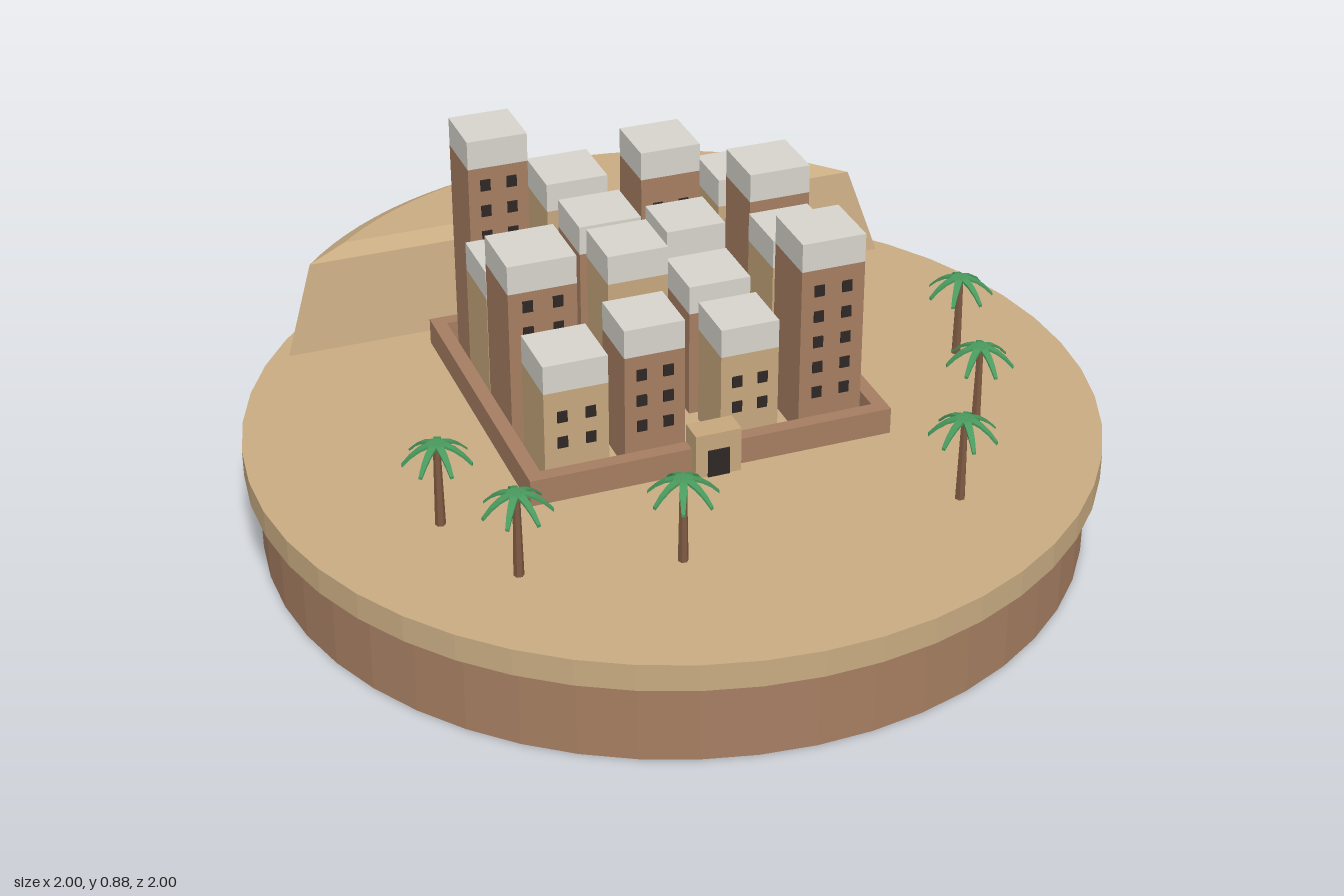
import * as THREE from 'three';

const mat = (name, color, extra = {}) => {
  const m = new THREE.MeshStandardMaterial({ color, flatShading: true, ...extra });
  m.name = name;
  return m;
};

export function createModel() {
  const model = new THREE.Group();
  model.name = 'desertTown';
  const sand = mat('sand', 0xc8ab82);
  const clay = mat('clay', 0xa67e62);
  const plaster = mat('plaster', 0xc6a77d);
  const whitewash = mat('whitewash', 0xd6d4cc);
  const dark = mat('darkOpening', 0x2e2824);
  const bark = mat('bark', 0x7d5a42);
  const leaf = mat('leaf', 0x4a9a5e);
  const GROUND = 0.265;
  const TURN = -Math.PI / 9;

  const add = (parent, name, geometry, material, x = 0, y = 0, z = 0) => {
    const m = new THREE.Mesh(geometry, material);
    m.name = name;
    m.position.set(x, y, z);
    parent.add(m);
    return m;
  };
  // box standing on height y
  const box = (parent, name, w, h, d, material, x, y, z) =>
    add(parent, name, new THREE.BoxGeometry(w, h, d), material, x, y + h / 2, z);

  // round base with a wider sand slab on top
  add(model, 'base', new THREE.CylinderGeometry(0.97, 0.97, 0.2, 48), clay, 0, 0.1, 0);
  add(model, 'sandDisc', new THREE.CylinderGeometry(1, 1, 0.065, 48), sand, 0, 0.2325, 0);

  // half-moon cliff: each level is [arc radius, chord position, height]
  const levels = [[0.96, -0.56, GROUND], [0.92, -0.59, 0.487], [0.87, -0.62, 0.515]];
  const N = 28;
  const verts = [];
  const index = [];
  for (const [r, v, y] of levels) {
    const b = Math.asin(-v / r);
    for (let i = 0; i <= N; i++) {
      const t = -(Math.PI - b) + (Math.PI - 2 * b) * i / N;
      verts.push(r * Math.cos(t), y, r * Math.sin(t));
    }
  }
  const M = N + 1;
  for (let l = 0; l < levels.length - 1; l++) {
    for (let i = 0; i < M; i++) {
      const a = l * M + i, b = l * M + (i + 1) % M;
      index.push(a, a + M, b, b, a + M, b + M);
    }
  }
  const top = (levels.length - 1) * M;
  for (let i = 1; i < N; i++) index.push(top, top + i + 1, top + i);
  const cliffGeo = new THREE.BufferGeometry();
  cliffGeo.setAttribute('position', new THREE.Float32BufferAttribute(verts, 3));
  cliffGeo.setIndex(index);
  cliffGeo.computeVertexNormals();
  add(model, 'cliff', cliffGeo, sand).rotation.y = TURN;

  // walled town, turned on the disc
  const town = new THREE.Group();
  town.name = 'town';
  town.position.set(0.035, 0, -0.107);
  town.rotation.y = TURN;
  model.add(town);

  const W = 0.436, D = 0.39, T = 0.034, H = 0.065;
  for (const s of [-1, 1]) {
    box(town, 'wallLong', 2 * W, H, T, clay, 0, GROUND, s * (D - T / 2));
    box(town, 'wallSide', T, H, 2 * (D - T), clay, s * (W - T / 2), GROUND, 0);
  }
  box(town, 'gatehouse', 0.11, 0.11, 0.06, plaster, 0, GROUND, 0.385);
  box(town, 'gateDoor', 0.052, 0.068, 0.006, dark, 0, GROUND, 0.416);

  // towers: [x, z, size, top height], clay and plaster alternating
  const towers = [
    [[-0.307, -0.271, 0.144, 0.88], [-0.116, -0.272, 0.15, 0.74], [0.116, -0.267, 0.148, 0.783], [0.311, -0.264, 0.145, 0.678]],
    [[-0.322, -0.096, 0.155, 0.64], [-0.1, -0.088, 0.15, 0.715], [0.12, -0.108, 0.145, 0.65], [0.325, -0.098, 0.15, 0.768]],
    [[-0.321, 0.075, 0.162, 0.74], [-0.094, 0.082, 0.144, 0.72], [0.108, 0.071, 0.15, 0.6], [0.313, 0.071, 0.148, 0.68]],
    [[-0.302, 0.243, 0.152, 0.57], [-0.115, 0.244, 0.144, 0.62], [0.114, 0.246, 0.14, 0.575], [0.312, 0.243, 0.154, 0.757]],
  ];
  const CAP = 0.07;
  const windowGeo = new THREE.BoxGeometry(0.024, 0.028, 0.005);
  towers.forEach((row, r) => row.forEach(([x, z, s, h], c) => {
    const tower = new THREE.Group();
    tower.name = 'tower';
    tower.position.set(x, 0, z);
    town.add(tower);
    const eave = h - CAP;
    box(tower, 'towerBody', s, eave - GROUND, s, (r + c) % 2 ? plaster : clay, 0, GROUND, 0);
    box(tower, 'towerTop', s, CAP, s, whitewash, 0, eave, 0);
    for (let y = 0.37; y + 0.035 < eave; y += 0.066) {
      for (const side of [-1, 1]) add(tower, 'window', windowGeo, dark, side * s * 0.22, y, s / 2 + 0.001);
    }
  }));

  // palm frond: a thin strip that tapers and droops outward
  const frondGeo = new THREE.BoxGeometry(0.078, 0.006, 0.018, 4, 1, 1).translate(0.039, 0, 0);
  const p = frondGeo.attributes.position;
  for (let i = 0; i < p.count; i++) {
    const t = p.getX(i) / 0.078;
    p.setY(i, p.getY(i) + 0.008 * t - 0.05 * t * t);
    p.setZ(i, p.getZ(i) * (1 - 0.55 * t * t));
  }
  frondGeo.computeVertexNormals();
  const trunkGeo = new THREE.CylinderGeometry(0.008, 0.012, 0.205, 6);
  const spots = [[-0.7, 0.035], [-0.69, 0.3], [-0.39, 0.487], [0.235, 0.705], [0.49, 0.51], [0.695, 0.25]];
  spots.forEach(([x, z], k) => {
    const palm = new THREE.Group();
    palm.name = 'palm';
    palm.position.set(x, GROUND, z);
    palm.rotation.y = k * 1.1;
    model.add(palm);
    add(palm, 'trunk', trunkGeo, bark, 0, 0.1025, 0);
    for (let i = 0; i < 7; i++) {
      add(palm, 'frond', frondGeo, leaf, 0, 0.206, 0).rotation.y = i * Math.PI * 2 / 7;
    }
  });

  return model;
}
